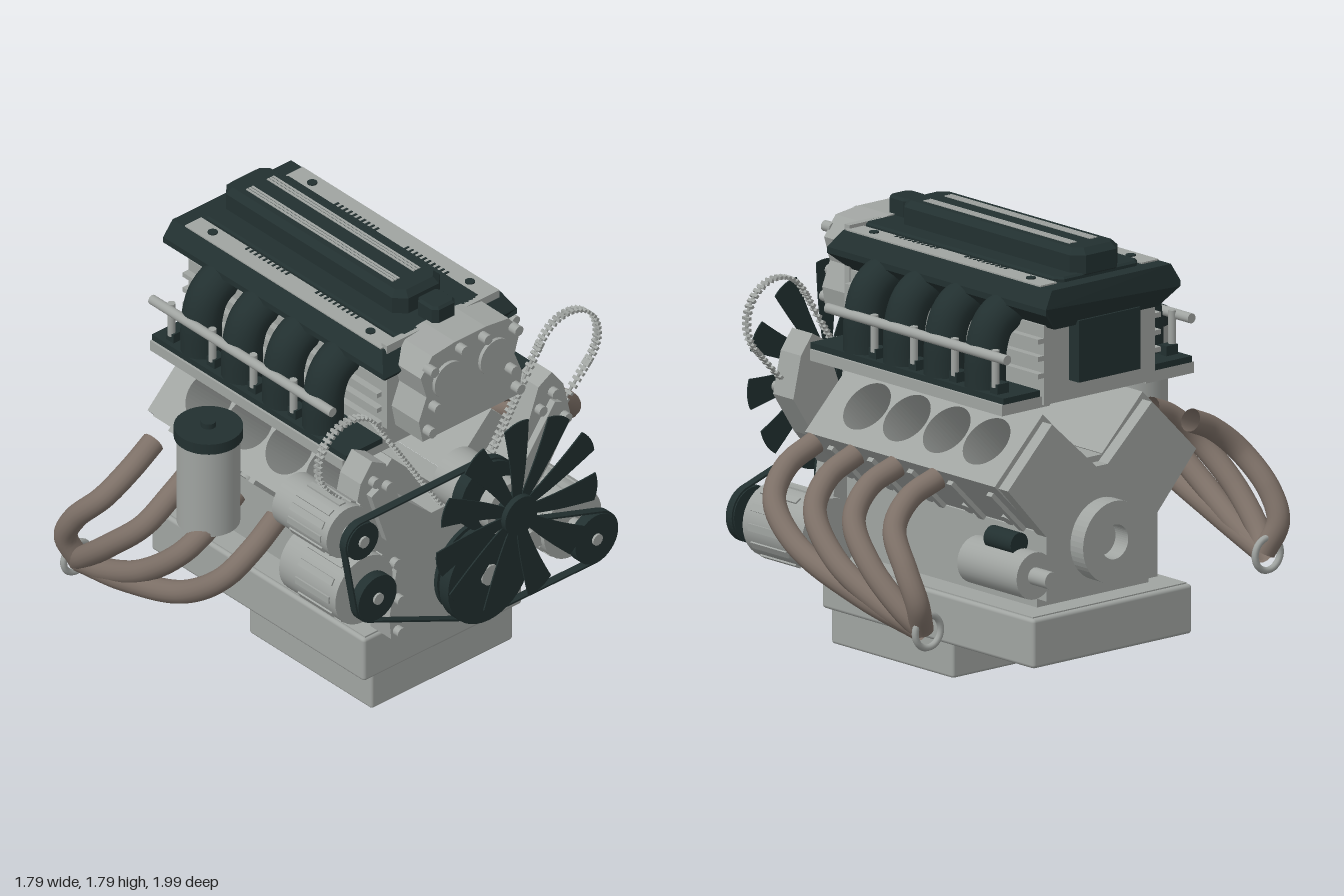
import * as THREE from 'three';
import { mergeGeometries } from 'three/addons/utils/BufferGeometryUtils.js';
import { RoundedBoxGeometry } from 'three/addons/geometries/RoundedBoxGeometry.js';

export function createModel() {
  const root = new THREE.Group();
  root.name = 'engine';
  const mat = (name, color, side = THREE.FrontSide) => {
    const m = new THREE.MeshStandardMaterial({ color, side });
    m.name = name;
    return m;
  };
  const metal = mat('castMetal', 0xa0a4a1);
  const dark = mat('darkPlastic', 0x223030, THREE.DoubleSide);
  const pipe = mat('exhaustSteel', 0x7d7067, THREE.DoubleSide);

  const add = (name, geo, material) => {
    const m = new THREE.Mesh(geo, material);
    m.name = name;
    root.add(m);
    return m;
  };
  // box given by its limits
  const box = (name, x0, x1, y0, y1, z0, z1, m) =>
    add(name, new THREE.BoxGeometry(x1 - x0, y1 - y0, z1 - z0)
      .translate((x0 + x1) / 2, (y0 + y1) / 2, (z0 + z1) / 2), m);
  // cylinder lying along x
  const cylX = (name, r, x0, x1, y, z, m, seg = 32) =>
    add(name, new THREE.CylinderGeometry(r, r, x1 - x0, seg).rotateZ(Math.PI / 2)
      .translate((x0 + x1) / 2, y, z), m);
  const cylY = (name, r, y0, y1, x, z, m) =>
    add(name, new THREE.CylinderGeometry(r, r, y1 - y0, 36).translate(x, (y0 + y1) / 2, z), m);
  // (z, y) outline extruded along x, with an optional hole
  const toShape = (pts) => new THREE.Shape(pts.map(([z, y]) => new THREE.Vector2(-z, y)));
  const profileX = (name, pts, x0, x1, m, hole) => {
    const s = toShape(pts);
    if (hole) s.holes.push(toShape(hole));
    return add(name, new THREE.ExtrudeGeometry(s, { depth: x1 - x0, bevelEnabled: false })
      .rotateY(Math.PI / 2).translate(x0, 0, 0), m);
  };
  // right half outline mirrored to the other side
  const mirrored = (half) => [...half, ...half.map(([z, y]) => [-z, y]).reverse()];
  // plan rectangle with cut corners, extruded upward with a bevel
  const planY = (name, x0, x1, w, cut, y0, y1, b, m) => {
    const s = new THREE.Shape([[x0 + cut, -w], [x1 - cut, -w], [x1, cut - w], [x1, w - cut],
      [x1 - cut, w], [x0 + cut, w], [x0, w - cut], [x0, cut - w]].map((p) => new THREE.Vector2(...p)));
    return add(name, new THREE.ExtrudeGeometry(s, { depth: y1 - y0 - b, bevelThickness: b, bevelSize: b,
      bevelOffset: -b, bevelSegments: 1 }).rotateX(-Math.PI / 2).translate(0, y0, 0), m);
  };
  // convex loop around circles [z, y, r]
  const loop = (circles, grow) => {
    const pts = [];
    for (const [z, y, r] of circles) for (let i = 0; i < 48; i++) {
      const a = i / 48 * Math.PI * 2;
      pts.push([z + (r + grow) * Math.cos(a), y + (r + grow) * Math.sin(a)]);
    }
    pts.sort((a, b) => a[0] - b[0] || a[1] - b[1]);
    const half = (list) => {
      const h = [];
      for (const p of list) {
        while (h.length > 1) {
          const [a, b] = h.slice(-2);
          if ((b[0] - a[0]) * (p[1] - a[1]) - (b[1] - a[1]) * (p[0] - a[0]) > 0) break;
          h.pop();
        }
        h.push(p);
      }
      return h.slice(0, -1);
    };
    return [...half(pts), ...half(pts.reverse())];
  };

  // oil pan and ribbed sump
  add('oilPan', new RoundedBoxGeometry(1.25, 0.2, 0.83, 2, 0.015).translate(-0.195, 0.26, 0), metal);
  box('panFlange', -0.8, 0.42, 0.35, 0.365, -0.4, 0.4, metal);
  add('sump', new RoundedBoxGeometry(0.72, 0.17, 0.74, 2, 0.012).translate(0.065, 0.095, 0), metal);
  for (let i = 0; i < 11; i++) box('sumpRib', -0.23, 0.37, 0, 0.012, -0.3 + i * 0.058, -0.28 + i * 0.058, metal);

  // block with two bored banks
  const xs = [-0.51, -0.275, -0.04, 0.195];
  profileX('crankcase', mirrored([[0.29, 0.36], [0.29, 0.67], [0.05, 0.925]]), -0.7, 0.42, metal);
  profileX('rearPlate', mirrored([[0.29, 0.4], [0.29, 0.66], [0.49, 0.88], [0.26, 1.11], [0.03, 0.9]]), -0.755, -0.7, metal);
  for (const s of [1, -1]) {
    const deck = new THREE.Shape([[-0.7, -0.177], [0.42, -0.177], [0.42, 0.177], [-0.7, 0.177]]
      .map((p) => new THREE.Vector2(...p)));
    for (const x of xs) deck.holes.push(new THREE.Path().absarc(x, 0, 0.11, 0, Math.PI * 2, true));
    const bank = add('cylinderBank', new THREE.ExtrudeGeometry(deck,
      { depth: 0.3, bevelEnabled: false, curveSegments: 24 }).translate(0, 0, -0.15), metal);
    bank.rotation.x = -s * Math.PI / 4;
    bank.position.set(0, 1.015 - 0.106, s * (0.385 - 0.106));
    for (let i = 0; i < 5; i++) {
      const x = -0.63 + i * 0.235;
      // core plugs and ribs on the underside of the bank
      const plug = add('corePlug', new THREE.CylinderGeometry(0.028, 0.028, 0.03, 16), metal);
      plug.position.set(x + 0.05, 0.71, s * 0.33);
      plug.rotation.x = s * Math.PI * 0.75;
      const rib = add('bankRib', new THREE.BoxGeometry(0.03, 0.24, 0.03), metal);
      rib.position.set(x, 0.76, s * 0.385);
      rib.rotation.x = s * Math.PI / 4;
    }
  }

  // rear hub and starter
  const hub = new THREE.Shape().absarc(0, 0, 0.165, 0, Math.PI * 2);
  hub.holes.push(new THREE.Path().absarc(0, 0, 0.07, 0, Math.PI * 2, true));
  add('rearHub', new THREE.ExtrudeGeometry(hub, { depth: 0.075, bevelEnabled: false, curveSegments: 24 })
    .rotateY(Math.PI / 2).translate(-0.83, 0.605, 0), metal);
  cylX('starterBody', 0.095, -0.8, -0.45, 0.53, -0.39, metal);
  cylX('starterNose', 0.035, -0.9, -0.8, 0.53, -0.39, metal);
  cylX('starterSolenoid', 0.045, -0.72, -0.56, 0.645, -0.4, dark);

  // front timing cover with two arms, and the chains
  profileX('timingCover', mirrored([[0.37, 0.4], [0.38, 0.5], [0.34, 0.72], [0.46, 0.86], [0.57, 1.03],
    [0.53, 1.2], [0.47, 1.28], [0.4, 1.24], [0.33, 1.05], [0.16, 0.9]]), 0.42, 0.54, metal);
  for (const s of [1, -1]) {
    for (const [z, y] of [[0.34, 0.43], [0.34, 0.58], [0.36, 0.76], [0.53, 1.05], [0.47, 1.19], [0.4, 1.14]])
      cylX('coverBolt', 0.022, 0.53, 0.57, y, s * z, metal, 12);
    profileX('coverRib', [[s * 0.42, 0.9], [s * 0.5, 1.14], [s * 0.46, 1.16], [s * 0.24, 0.86]], 0.54, 0.57, metal);
    const path = loop([[s * 0.57, 1.345, 0.16], [0, 0.62, 0.07]], 0);
    const curve = new THREE.CatmullRomCurve3(path.map(([z, y]) => new THREE.Vector3(0.515, y, z)), true, 'centripetal');
    const links = [new THREE.TubeGeometry(curve, 200, 0.007, 5, true)];
    for (let i = 0; i < 110; i++) {
      const p = curve.getPointAt(i / 110), t = curve.getTangentAt(i / 110);
      links.push(new THREE.BoxGeometry(0.04, 0.012, 0.014).rotateX(-Math.atan2(t.z, t.y))
        .translate(p.x, p.y, p.z));
    }
    add('timingChain', mergeGeometries(links), metal);
  }

  // intake manifold
  box('intakeCore', -0.74, 0.4, 1.19, 1.51, -0.29, 0.29, metal);
  for (const s of [1, -1]) {
    const zBox = (name, x0, x1, y0, y1, a, b, m) => box(name, x0, x1, y0, y1, Math.min(s * a, s * b), Math.max(s * a, s * b), m);
    zBox('intakeFlange', -0.73, 0.4, 1.18, 1.225, 0.25, 0.5, metal);
    zBox('runnerGasket', -0.73, 0.41, 1.225, 1.25, 0.3, 0.49, dark);
    for (const y of [1.3, 1.37, 1.44]) zBox('intakeRib', -0.74, 0.4, y, y + 0.02, 0.28, 0.32, metal);
    for (const x of [-0.53, -0.29, -0.05, 0.185]) {
      const c = new THREE.CatmullRomCurve3([[1.54, 0.2], [1.535, 0.3], [1.49, 0.37], [1.4, 0.405], [1.24, 0.41]]
        .map(([y, z]) => new THREE.Vector3(x, y, s * z)));
      add('intakeRunner', new THREE.TubeGeometry(c, 20, 0.082, 20), dark);
      zBox('injectorBoot', x - 0.14, x - 0.095, 1.24, 1.29, 0.41, 0.47, dark);
      add('injector', new THREE.CylinderGeometry(0.016, 0.016, 0.15, 12).translate(x - 0.118, 1.35, s * 0.46), metal);
    }
    cylX('fuelRail', 0.02, -0.74, 0.32, 1.405, s * 0.48, metal, 16);
  }
  box('rearModule', -0.8, -0.74, 1.27, 1.52, -0.16, 0.16, dark);

  // top cover, trim strips, lid and filler cap
  const cover = profileX('topCover', mirrored([[0.27, 1.5], [0.35, 1.575], [0.35, 1.6], [0.31, 1.67]]), -0.82, 0.47, dark);
  const cp = cover.geometry.attributes.position;
  for (let i = 0; i < cp.count; i++) { // slope both ends
    const y = cp.getY(i), front = cp.getX(i) > 0;
    if (y > 1.65) cp.setX(i, front ? 0.42 : -0.81);
    if (y < 1.55) cp.setX(i, front ? 0.4 : -0.78);
  }
  cover.geometry.computeVertexNormals();
  planY('centrePanel', -0.745, 0.42, 0.218, 0.03, 1.66, 1.69, 0.008, dark);
  planY('lid', -0.75, 0.315, 0.125, 0.045, 1.685, 1.785, 0.025, dark);
  planY('fillerCap', 0.33, 0.45, 0.06, 0.02, 1.66, 1.765, 0.01, dark);
  for (const s of [1, -1]) {
    box('trimStrip', -0.74, 0.41, 1.668, 1.676, s * 0.265 - 0.043, s * 0.265 + 0.043, metal);
    for (const z of [0.04, 0.054, 0.068]) box('lidStripe', -0.645, 0.215, 1.782, 1.789, s * z - 0.0045, s * z + 0.0045, metal);
    for (const x of [-0.63, 0.295]) cylY('coverScrew', 0.02, 1.67, 1.681, x, s * 0.26, dark);
    for (const x0 of [-0.46, -0.05]) for (let i = 0; i < 10; i++)
      box('ventSlot', x0 + i * 0.026, x0 + i * 0.026 + 0.009, 1.672, 1.679, s * 0.23 - 0.014, s * 0.23 + 0.014, dark);
  }

  // upper front housing
  profileX('frontHousing', mirrored([[0.25, 1.3], [0.27, 1.4], [0.23, 1.5], [0.26, 1.6], [0.2, 1.68], [0.08, 1.695]]), 0.4, 0.59, metal);
  profileX('housingBackPlate', mirrored([[0.295, 1.3], [0.295, 1.69]]), 0.4, 0.43, metal);
  for (const s of [1, -1]) {
    cylX('camCap', 0.08, 0.58, 0.605, 1.54, s * 0.12, metal);
    for (const [z, y] of [[0.22, 1.63], [0.06, 1.66], [0.23, 1.35], [0.2, 1.45]])
      cylX('housingBolt', 0.022, 0.58, 0.63, y, s * z, metal, 12);
  }

  // accessories with ribbed housings: y, z, radius, x limits
  for (const [y, z, r, x0, x1, pr] of [[1.06, 0.65, 0.112, 0.28, 0.6, 0.08],
    [0.76, 0.575, 0.15, 0.28, 0.61, 0.1], [0.525, -0.57, 0.15, 0.2, 0.55, 0.11]]) {
    cylX('accessoryHousing', r, x0, x1, y, z, metal);
    cylX('accessoryShaft', 0.03, x1, 0.66, y, z, metal, 16);
    cylX('accessoryPulley', pr, 0.645, 0.69, y, z, dark);
    cylX('pulleyNut', 0.025, 0.69, 0.7, y, z, metal, 12);
    for (let i = 0; i < 12; i++) {
      const a = i * Math.PI / 6;
      const rib = add('housingRib', new THREE.BoxGeometry((x1 - x0) * 0.6, 0.012, 0.03), metal);
      rib.position.set(x0 + (x1 - x0) * 0.6, y + r * Math.cos(a), z + r * Math.sin(a));
      rib.rotation.x = a;
    }
  }
  box('accessoryBracket', 0.43, 0.53, 0.72, 0.84, 0.3, 0.5, metal);
  box('pumpBracket', 0.43, 0.53, 1.02, 1.1, 0.45, 0.6, metal);
  box('lowerBracket', 0.43, 0.53, 0.48, 0.58, -0.5, -0.3, metal);

  // crank pulley, water pump and belts
  for (const [a, b, r] of [[0.6, 0.618, 0.2], [0.618, 0.632, 0.18], [0.632, 0.65, 0.2], [0.65, 0.7, 0.215]])
    cylX('crankPulley', r, a, b, 0.62, 0, dark, 40);
  cylX('crankShaft', 0.06, 0.52, 0.61, 0.62, 0, metal);
  cylX('crankBolt', 0.045, 0.7, 0.71, 0.62, 0, metal, 12);
  cylX('waterPump', 0.12, 0.5, 0.645, 0.99, 0, metal);
  cylX('pumpPulley', 0.15, 0.645, 0.7, 0.99, 0, dark, 40);
  for (const c of [[[0.65, 1.06, 0.08], [0.575, 0.76, 0.1], [0, 0.62, 0.2], [0, 0.99, 0.15]],
    [[0, 0.62, 0.2], [-0.57, 0.525, 0.11], [0, 0.99, 0.1]].slice(0, 2)])
    profileX('driveBelt', loop(c, 0.008), 0.65, 0.685, dark, loop(c, 0));

  // fan and its clutch
  cylX('fanClutch', 0.115, 0.76, 0.82, 0.99, 0, metal, 40);
  cylX('fanHub', 0.085, 0.83, 0.89, 0.99, 0, dark, 32);
  const blade = new THREE.Shape();
  blade.moveTo(-0.022, 0.075);
  blade.quadraticCurveTo(-0.03, 0.24, -0.065, 0.405);
  blade.quadraticCurveTo(0, 0.435, 0.06, 0.415);
  blade.quadraticCurveTo(0.05, 0.2, 0.022, 0.075);
  for (let i = 0; i < 11; i++) {
    add('fanBlade', new THREE.ExtrudeGeometry(blade, { depth: 0.006, bevelEnabled: false })
      .rotateZ(i / 11 * Math.PI * 2).rotateY(Math.PI / 2).translate(0.859, 0.99, 0), dark);
  }

  // exhaust pipes and collector rings
  for (const s of [1, -1]) {
    const paths = [
      [[-0.53, 0.92, 0.66], [-0.515, 0.86, 0.79], [-0.55, 0.76, 0.9], [-0.67, 0.62, 0.945], [-0.73, 0.5, 0.94], [-0.7, 0.38, 0.89]],
      [[-0.29, 0.92, 0.66], [-0.275, 0.86, 0.79], [-0.31, 0.75, 0.9], [-0.46, 0.6, 0.945], [-0.63, 0.45, 0.925], [-0.71, 0.38, 0.89]],
      [[-0.05, 0.92, 0.66], [-0.035, 0.85, 0.79], [-0.08, 0.74, 0.9], [-0.26, 0.58, 0.945], [-0.52, 0.44, 0.92], [-0.7, 0.38, 0.89]],
      [[0.19, 0.92, 0.66], [0.205, 0.85, 0.79], [0.16, 0.74, 0.9], [-0.02, 0.6, 0.945], [-0.4, 0.46, 0.93], [-0.7, 0.38, 0.89]]];
    for (const p of paths) {
      const c = new THREE.CatmullRomCurve3(p.map(([x, y, z]) => new THREE.Vector3(x, y, s * z)));
      add('exhaustPipe', new THREE.TubeGeometry(c, 36, 0.047, 16), pipe);
    }
    add('exhaustRing', new THREE.TorusGeometry(0.066, 0.014, 8, 28).rotateY(Math.PI / 2)
      .translate(-0.73, 0.38, s * 0.885), metal);
  }

  // fluid canister
  cylY('canister', 0.125, 0.82, 1.22, -0.095, 0.76, metal);
  cylY('canisterCap', 0.136, 1.215, 1.262, -0.095, 0.76, dark);
  cylY('canisterKnob', 0.03, 1.26, 1.285, -0.095, 0.76, dark);
  return root;
}
